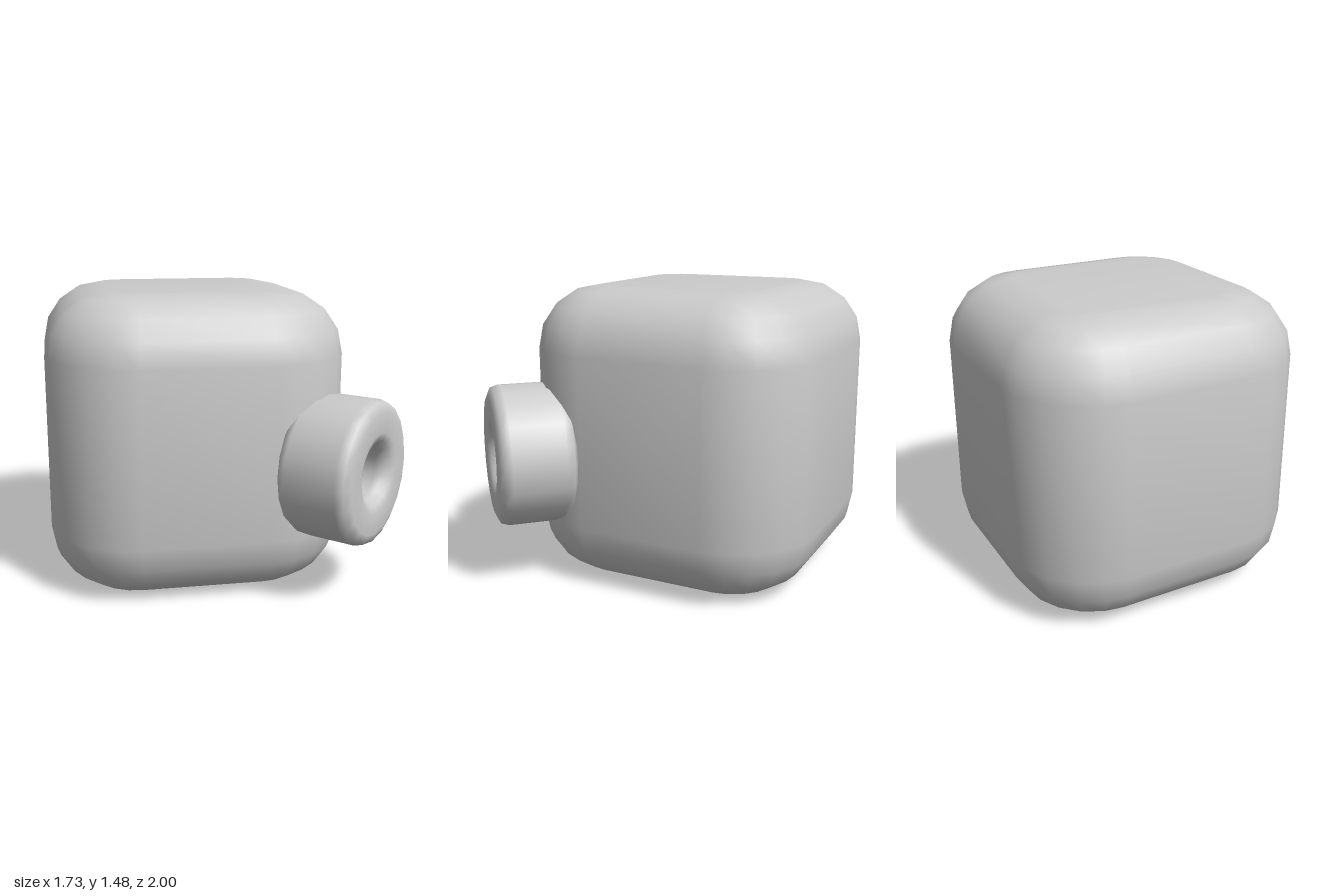
import * as THREE from 'three';
import { toCreasedNormals } from 'three/addons/utils/BufferGeometryUtils.js';

const material = new THREE.MeshStandardMaterial({ color: 0xcccccc });

// Outline of a square whose corners are arcs of a few straight steps
function roundedSquare(half, r, steps) {
  const points = [];
  for (let q = 0; q < 4; q++) {
    const mid = (q + 0.5) * Math.PI / 2;
    const reach = (half - r) * Math.SQRT2;
    for (let i = 0; i <= steps; i++) {
      const a = (q + i / steps) * Math.PI / 2;
      points.push(new THREE.Vector2(
        reach * Math.cos(mid) + r * Math.cos(a),
        reach * Math.sin(mid) + r * Math.sin(a),
      ));
    }
  }
  return new THREE.Shape(points);
}

export function createModel() {
  const model = new THREE.Group();

  // Body: soft cube with round rims, standing with one upright edge to the front
  const size = 0.865, rim = 0.31;
  const cube = new THREE.ExtrudeGeometry(roundedSquare(size / 2, 0.135, 5), {
    depth: size, bevelThickness: rim, bevelSize: rim, bevelSegments: 4,
  });
  cube.translate(0, 0, rim);
  cube.rotateX(-Math.PI / 2);
  cube.rotateY(Math.PI / 4);
  const body = new THREE.Mesh(toCreasedNormals(cube, 0.6), material);
  body.name = 'body';
  body.position.z = -0.14;
  model.add(body);

  // Thick hollow spout with rounded rims: [radius, z]
  const profile = [
    [0.13, 0.68], [0.15, 0.64], [0.2, 0.62], [0.3, 0.62], [0.34, 0.64], [0.358, 0.68],
    [0.358, 0.94], [0.345, 0.98], [0.3, 1], [0.2, 1], [0.16, 0.985], [0.14, 0.95],
    [0.13, 0.92], [0.13, 0.68],
  ].map(([r, z]) => new THREE.Vector2(r, z));
  const spout = new THREE.Mesh(new THREE.LatheGeometry(profile, 20), material);
  spout.name = 'spout';
  spout.rotation.x = Math.PI / 2;
  spout.position.y = 0.648;
  model.add(spout);

  return model;
}
